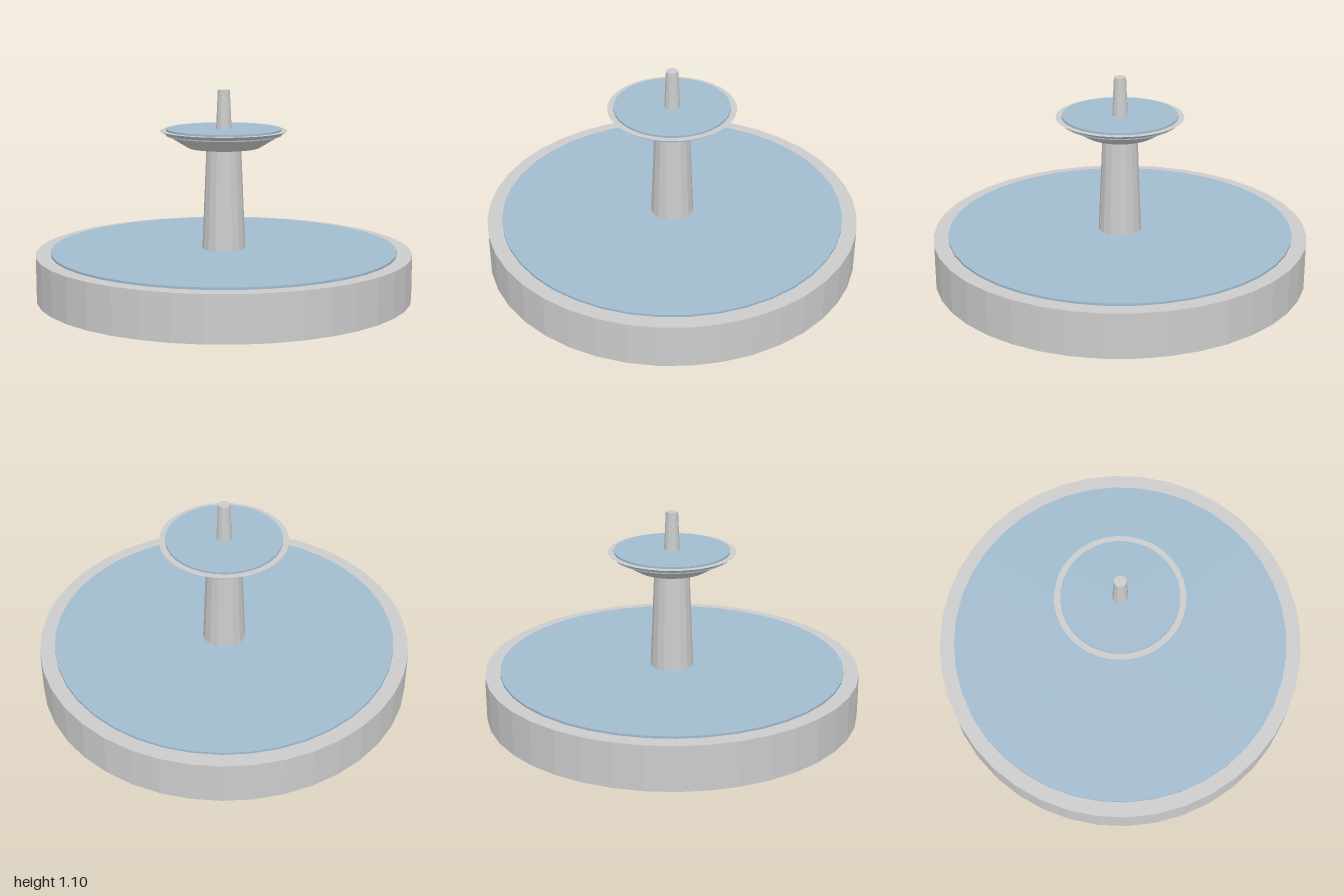
import * as THREE from 'three';

const stone = new THREE.MeshStandardMaterial({ color: 0xcccccc, flatShading: true });
const water = new THREE.MeshStandardMaterial({ color: 0xa1bbce, flatShading: true });

// Upright round part from height y0 to y1, with its own radius at each end
function roundPart(name, material, rBottom, rTop, y0, y1, sides) {
  const mesh = new THREE.Mesh(new THREE.CylinderGeometry(rTop, rBottom, y1 - y0, sides), material);
  mesh.name = name;
  mesh.position.y = (y0 + y1) / 2;
  return mesh;
}

export function createModel() {
  const fountain = new THREE.Group();
  fountain.name = 'fountain';
  fountain.add(
    // Wide basin and its sheet of water
    roundPart('basin', stone, 1, 1, 0, 0.24, 40),
    roundPart('basinWater', water, 0.92, 0.92, 0.2, 0.252, 40),
    // Tapered column carrying the upper bowl
    roundPart('column', stone, 0.115, 0.092, 0.24, 0.8, 16),
    // Flared bowl; the edge of its water shows just below the rim
    roundPart('upperBowl', stone, 0.19, 0.337, 0.794, 0.884, 32),
    roundPart('upperWater', water, 0.305, 0.305, 0.858, 0.894, 32),
    // Spout on top
    roundPart('spout', stone, 0.042, 0.032, 0.88, 1.098, 12),
  );
  return fountain;
}
